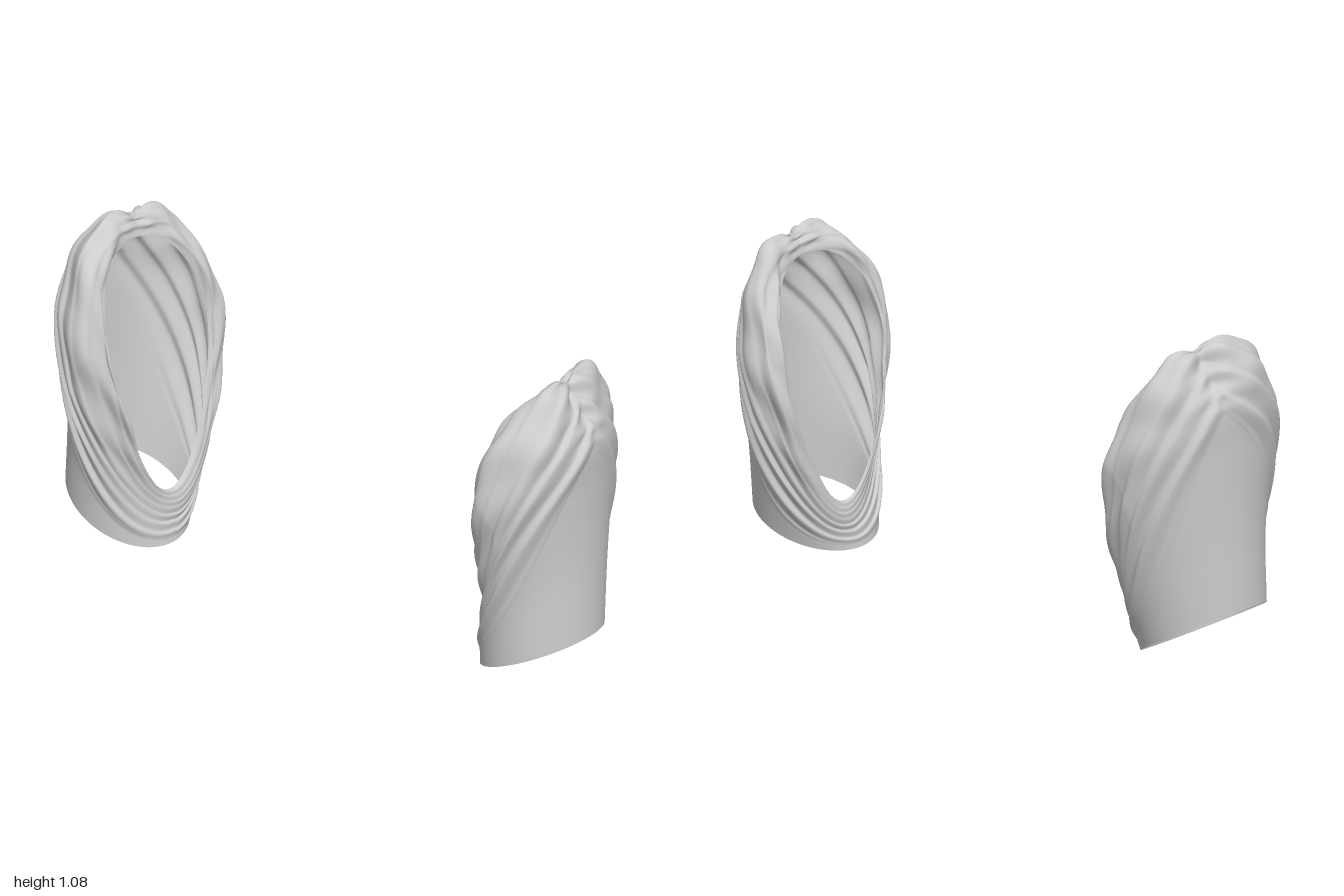
import * as THREE from 'three';

// Tilted loops from hem to armhole:
// [outer x, outer y, inner x, inner y, front z, back z, lift of the sides, inward bow of the sides, outward lean of the front]
const LOOPS = [
  [1.00, 0.18, 0.632, 0.03, 0.245, -0.18, 0.00, 0.00, 0.00],
  [0.988, 0.45, 0.637, 0.06, 0.255, -0.215, 0.00, 0.00, 0.00],
  [0.985, 0.69, 0.643, 0.09, 0.282, -0.260, 0.03, 0.00, 0.01],
  [0.985, 0.83, 0.645, 0.115, 0.302, -0.295, 0.07, 0.00, 0.022],
  [0.95, 0.945, 0.646, 0.14, 0.312, -0.312, 0.09, 0.01, 0.03],
  [0.89, 1.042, 0.650, 0.16, 0.300, -0.304, 0.10, 0.03, 0.025],
  [0.84, 1.02, 0.657, 0.18, 0.258, -0.255, 0.09, 0.04, 0.012],
  [0.83, 0.965, 0.668, 0.185, 0.245, -0.235, 0.09, 0.035, 0.005],
];
const AROUND = 240, ALONG = 110;

function loopPoint([ox, oy, ix, iy, zf, zb, lift, bow, lean], a) {
  const c = Math.cos(a), s = Math.sin(a);
  const pinch = 1 - 2 * lift * Math.max(0, -c);      // the opening narrows towards its foot
  return new THREE.Vector3(
    (ox + ix) / 2 + (ox - ix) / 2 * c - bow * s * s + lean * s,
    (oy + iy) / 2 + (oy - iy) / 2 * c + lift * s * s,
    (zf + zb) / 2 + (zf - zb) / 2 * s * pinch);
}

const smooth = THREE.MathUtils.smoothstep;
const bump = (x, width) => Math.exp(-((x / width) ** 2));

// A pleat with a gentle rise and a steeper fall
function pleat(x) {
  const f = x - Math.floor(x);
  return f < 0.75 ? smooth(f, 0, 0.75) : 1 - smooth(f, 0.75, 1);
}

// Height of the cloth folds at angle a and loop number s
function folds(a, s, phase) {
  const b = Math.abs(a);
  const front = a > 0 ? 1 : 0;
  const w = s + 2.6 * (1 - Math.exp(-b / 1.05)) - 3; // 0 on the V edge of the plain panel
  const edge = smooth(s, 0, 0.9) * (1 - 0.6 * smooth(s, 6, 7)) * (1 - 0.6 * smooth(b, 2, 2.8));
  // overlapping pleats that fan down from the gather
  const bend = 0.16 * Math.sin(2.1 * b + phase + front);
  let h = (0.014 * pleat((w + bend) * 1.2) - 0.006) * smooth(w, 0, 0.3) * (1 - 0.7 * smooth(w, 1.6, 3));
  h += 0.004 * smooth(w, 0, 0.12) * (1 - smooth(w, 0.5, 1.5));
  // broad soft creases on the puffs
  const puff = smooth(s, 2.6, 4.2) * smooth(b, 0.1, 0.5) * (1 - smooth(b, 2, 2.8));
  h += puff * 0.009 * Math.sin(4.2 * b + 2.3 * s + phase + 2 * front);
  h += puff * 0.005 * Math.sin(9 * b - 3.1 * s + 1.7 * phase);
  h += puff * 0.008 * bump(b - 0.5, 0.35) * bump(s - 4.8, 1.2);
  // small puckers at the gather
  h += 0.005 * Math.sin(s * 11 + 5 * b) * bump(b, 0.3) * smooth(s, 2.9, 3.4);
  // cleft that parts the two puffs
  h -= 0.028 * bump(a, 0.14) * smooth(s, 3.1, 4.3) * (1 - 0.7 * smooth(s, 5.2, 6.5));
  return h * edge;
}

function sleeve(side) {
  const pos = [], index = [], last = LOOPS.length - 1, row = ALONG + 1;
  const angle = i => i / AROUND * Math.PI * 2 - Math.PI;
  for (let i = 0; i < AROUND; i++) {
    const curve = new THREE.CatmullRomCurve3(LOOPS.map(l => loopPoint(l, angle(i))), false, 'catmullrom', 0.5);
    for (let j = 0; j <= ALONG; j++) {
      pos.push(...curve.getPoint(j / ALONG).toArray());
      if (j === ALONG) continue;
      const p = i * row + j, q = ((i + 1) % AROUND) * row + j;
      index.push(p, p + 1, q, q, p + 1, q + 1);
    }
  }
  const geo = new THREE.BufferGeometry();
  geo.setAttribute('position', new THREE.Float32BufferAttribute(pos, 3));
  geo.setIndex(index);
  geo.computeVertexNormals();

  // push the folds out along the normals
  const P = geo.attributes.position, N = geo.attributes.normal;
  const v = new THREE.Vector3(), n = new THREE.Vector3();
  const shift = side > 0 ? 0.06 : 0.2;               // the gather sits a little behind the middle
  for (let k = 0; k < P.count; k++) {
    const a = angle(Math.floor(k / row)), s = (k % row) / ALONG * last;
    v.fromBufferAttribute(P, k);
    n.fromBufferAttribute(N, k);
    v.addScaledVector(n, folds(a + shift * bump(a, 1), s, side > 0 ? 0.4 : 1.5));
    // the right sleeve is cut with a steeper hem and a taller cap
    if (side < 0) v.y = (v.y - 0.03 + 0.13 * (v.x - 0.63)) * 1.025;
    P.setXYZ(k, v.x * side, Math.max(v.y, 0), v.z);
  }
  if (side < 0) {
    for (let k = 0; k < index.length; k += 3) [index[k], index[k + 1]] = [index[k + 1], index[k]];
    geo.setIndex(index);
  }
  geo.computeVertexNormals();
  return geo;
}

export function createModel() {
  const cloth = new THREE.MeshStandardMaterial({ color: 0xcccccc, side: THREE.DoubleSide });
  const model = new THREE.Group();
  model.name = 'gatheredSleeves';
  for (const side of [1, -1]) {
    const mesh = new THREE.Mesh(sleeve(side), cloth);
    mesh.name = side > 0 ? 'leftSleeve' : 'rightSleeve';
    model.add(mesh);
  }
  return model;
}
